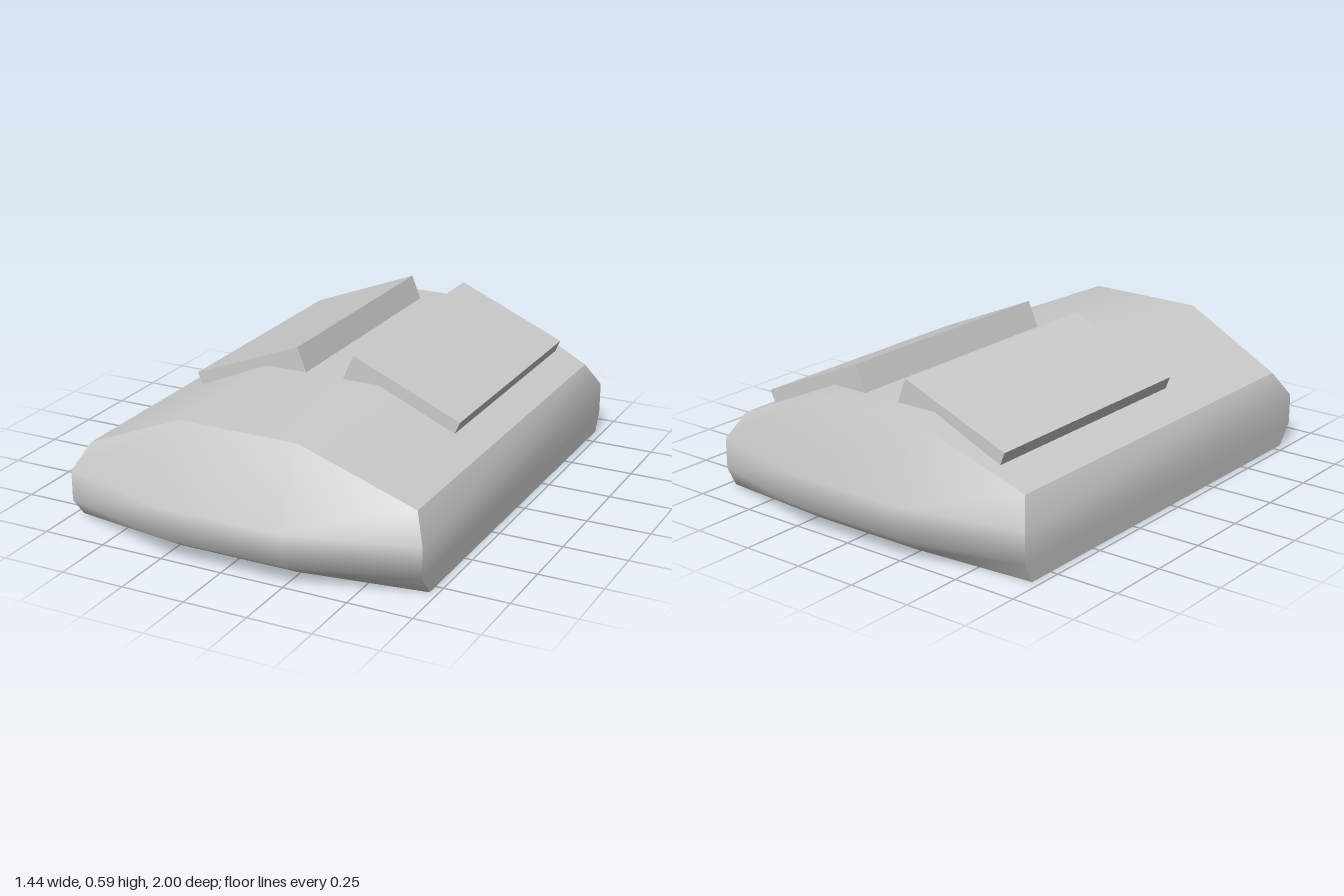
import * as THREE from 'three';

// Smooth surface through a grid of points: rows from bottom to top,
// each row from left to right as seen from outside.
function patch(rows) {
  const n = rows[0].length;
  const index = [];
  for (let r = 0; r < rows.length - 1; r++) {
    for (let c = 0; c < n - 1; c++) {
      const a = r * n + c, d = a + n;
      index.push(a, a + 1, d + 1, a, d + 1, d);
    }
  }
  const geometry = new THREE.BufferGeometry();
  geometry.setAttribute('position', new THREE.Float32BufferAttribute(rows.flat(2), 3));
  geometry.setIndex(index);
  geometry.computeVertexNormals();
  return geometry;
}

export function createModel() {
  const group = new THREE.Group();
  const grey = new THREE.MeshStandardMaterial({ color: 0xcccccc });
  const add = (name, geometry) => {
    const mesh = new THREE.Mesh(geometry, grey);
    mesh.name = name;
    group.add(mesh);
    return mesh;
  };

  // Hull levels: side x, side y, centre y, then z of centre and side at front and back
  const inner = 0.24;
  const levels = [
    { x: 0.72, ys: 0, yc: 0, front: [0.87, 0.8], back: [-0.89, -0.855] },
    { x: 0.72, ys: 0.08, yc: 0.08, front: [1, 0.865], back: [-1, -0.895] },
    { x: 0.72, ys: 0.2, yc: 0.2, front: [1, 0.865], back: [-1, -0.895] },
    { x: 0.67, ys: 0.3, yc: 0.49, front: [0.865, 0.8], back: [-0.9, -0.83] },
  ];
  const edge = (l, [zc, zs]) => [
    [-l.x, l.ys, zs], [-inner, l.yc, zc], [inner, l.yc, zc], [l.x, l.ys, zs],
  ];
  const frontRows = levels.map((l) => edge(l, l.front));
  const backRows = levels.map((l) => edge(l, l.back).reverse());

  add('hullFront', patch(frontRows));
  add('hullBack', patch(backRows));
  add('hullLeftSide', patch(frontRows.map((row, i) => [row[3], backRows[i][0]])));
  add('hullRightSide', patch(frontRows.map((row, i) => [backRows[i][3], row[0]])));
  add('hullTop', patch([frontRows[3], [...backRows[3]].reverse()]));
  add('hullBottom', patch([[...backRows[0]].reverse(), frontRows[0]]));

  // Tilted slabs lying on the sloping shoulders, given by their top edge in the front plane
  const slab = (name, x1, y1, x2, y2) => {
    const length = Math.hypot(x2 - x1, y2 - y1), thickness = 0.11;
    const angle = Math.atan2(y2 - y1, x2 - x1);
    const geometry = new THREE.BoxGeometry(length, thickness, 1.02);
    geometry.translate(0, -thickness / 2, 0);
    const mesh = add(name, geometry);
    mesh.rotation.z = angle;
    mesh.position.set((x1 + x2) / 2, (y1 + y2) / 2, -0.28);
  };
  slab('rightSlab', -0.55, 0.41, -0.105, 0.585);
  slab('leftSlab', 0.132, 0.59, 0.572, 0.4);

  return group;
}
